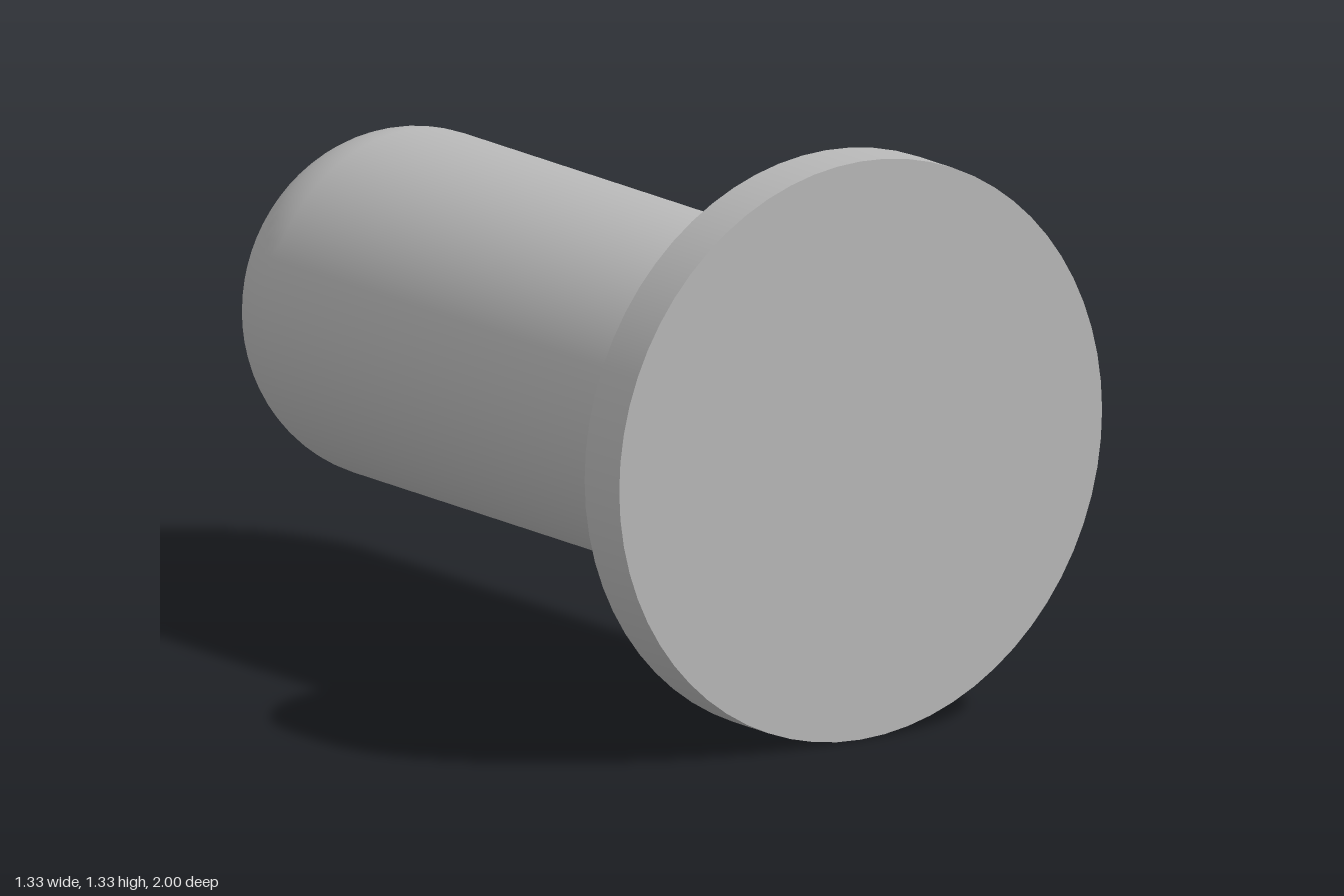
import * as THREE from 'three';

const FLANGE_R = 0.667, FLANGE_T = 0.133, SHAFT_R = 0.4, ROUND_R = 0.267, SIDES = 64;

export function createModel() {
  const model = new THREE.Group();
  model.name = 'flangedPin';
  const grey = new THREE.MeshStandardMaterial({ color: 0xb8b8b8 });
  grey.name = 'grey';

  // Every part is turned so its axis runs from the front (+z) to the back (-z)
  const addPart = (name, geometry) => {
    geometry.rotateX(-Math.PI / 2);
    const mesh = new THREE.Mesh(geometry, grey);
    mesh.name = name;
    mesh.position.y = FLANGE_R;
    model.add(mesh);
    return mesh;
  };

  // Flat round head at the front
  const flange = addPart('flange', new THREE.CylinderGeometry(FLANGE_R, FLANGE_R, FLANGE_T, SIDES));
  flange.position.z = 1 - FLANGE_T / 2;

  // Shaft with a rounded rear edge around a small flat end
  const profile = [new THREE.Vector2(SHAFT_R, -1 + FLANGE_T)];
  const steps = 16;
  for (let i = 0; i <= steps; i++) {
    const a = (i / steps) * Math.PI / 2;
    profile.push(new THREE.Vector2(
      SHAFT_R - ROUND_R + ROUND_R * Math.cos(a),
      1 - ROUND_R + ROUND_R * Math.sin(a)
    ));
  }
  profile.push(new THREE.Vector2(0, 1));
  addPart('shaft', new THREE.LatheGeometry(profile, SIDES));

  return model;
}
